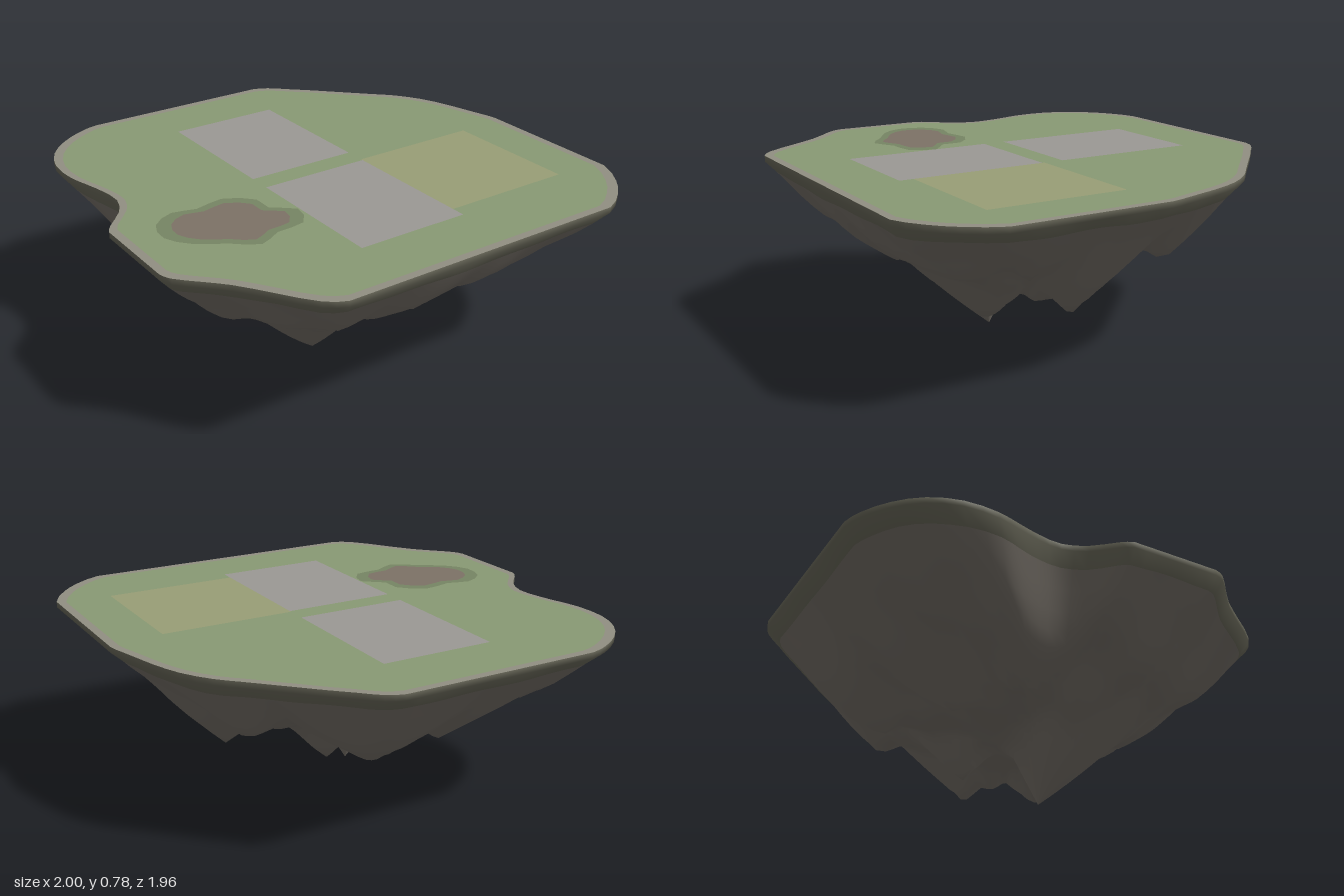
import * as THREE from 'three';

const TOP = 0.78;
const v2 = (list) => list.map(([x, z]) => new THREE.Vector2(x, z));
const scaled = (pts, s, c = new THREE.Vector2()) => pts.map((p) => p.clone().sub(c).multiplyScalar(s).add(c));

// Island outline as (x, z), running clockwise seen from above
const rimPoints = v2([
  [-0.57, -0.98], [0.28, -0.98], [0.35, -0.95], [0.5, -0.81], [0.65, -0.66], [0.8, -0.51], [0.88, -0.39],
  [0.93, -0.26], [0.98, -0.08], [1, 0], [1, 0.68], [0.92, 0.82], [0.83, 0.91], [0.71, 0.98], [-0.56, 0.98],
  [-0.64, 0.93], [-0.74, 0.79], [-0.83, 0.66], [-0.98, 0.5], [-1, 0.45], [-1, 0.05], [-0.97, 0], [-0.89, -0.09],
  [-0.85, -0.19], [-0.86, -0.3], [-0.91, -0.5], [-0.91, -0.65], [-0.86, -0.78], [-0.77, -0.88], [-0.66, -0.95],
]);
const earthPoints = v2([
  [-0.8, 0.22], [-0.78, 0.13], [-0.7, 0.08], [-0.62, 0.1], [-0.52, 0.08], [-0.43, 0.15], [-0.43, 0.22],
  [-0.36, 0.28], [-0.4, 0.37], [-0.5, 0.38], [-0.58, 0.42], [-0.66, 0.36], [-0.75, 0.3],
]);
const earthCentre = new THREE.Vector2(-0.58, 0.25);
const tip = new THREE.Vector2(-0.13, 0.13);

// Splits long sides, then rounds the corners between the points
function smoothOutline(pts, step) {
  const dense = pts.flatMap((p, i) => {
    const q = pts[(i + 1) % pts.length];
    const n = Math.max(1, Math.round(p.distanceTo(q) / step));
    return Array.from({ length: n }, (_, k) => p.clone().lerp(q, k / n));
  });
  const curve = new THREE.CatmullRomCurve3(dense.map((p) => new THREE.Vector3(p.x, 0, p.y)), true);
  return curve.getPoints(dense.length * 2).slice(0, -1).map((p) =>
    new THREE.Vector2(THREE.MathUtils.clamp(p.x, -1, 1), THREE.MathUtils.clamp(p.z, -0.98, 0.98)));
}

// Skin through closed rings of equal length
function loft(rings) {
  const n = rings[0].length;
  const index = [];
  for (let j = 0; j < rings.length - 1; j++) {
    for (let i = 0; i < n; i++) {
      const k = (i + 1) % n;
      const a = j * n + i, b = j * n + k, c = a + n, d = b + n;
      index.push(a, b, c, b, d, c);
    }
  }
  const geo = new THREE.BufferGeometry().setFromPoints(rings.flat());
  geo.setIndex(index);
  geo.computeVertexNormals();
  return geo;
}

// Flat horizontal sheet with an optional hole
function sheet(pts, y, hole) {
  const flip = (list) => list.map((p) => new THREE.Vector2(p.x, -p.y));
  const shape = new THREE.Shape(flip(pts));
  if (hole) shape.holes.push(new THREE.Path(flip(hole)));
  return new THREE.ShapeGeometry(shape).rotateX(-Math.PI / 2).translate(0, y, 0);
}

// Average rock height from the tip (0) to the rim (1)
const profile = [[0, 0.25], [0.3, 0.29], [0.45, 0.345], [0.6, 0.43], [0.73, 0.515], [0.86, 0.62], [1, 0.755]];
function baseHeight(t) {
  let i = 1;
  while (i < profile.length - 1 && t > profile[i][0]) i++;
  const [t0, y0] = profile[i - 1], [t1, y1] = profile[i];
  return y0 + ((y1 - y0) * (t - t0)) / (t1 - t0);
}

// Hanging spurs: x, y, z, slope
const spurs = [
  [0.11, 0.14, -0.11, 1.1], [0.22, 0.15, 0.34, 0.9], [0.48, 0.21, 0.1, 1], [0.34, 0.22, 0.16, 0.9],
  [-0.3, 0.24, -0.36, 0.75], [-0.5, 0.29, -0.18, 0.7], [-0.74, 0.49, -0.25, 0.7], [0.12, 0.28, -0.49, 0.7],
  [-0.1, 0.36, 0.58, 0.7], [0.2, 0.45, 0.69, 0.7], [0.66, 0.45, 0.4, 0.7], [0.84, 0.54, 0.1, 0.8],
  [0.56, 0.4, -0.3, 0.7], [0.1, 0.44, -0.72, 0.7], [-0.55, 0.45, -0.58, 0.7],
];
function rockHeight(p, t) {
  const bump = Math.sin(p.x * 13 + p.y * 5) * Math.sin(p.y * 14 - p.x * 4 + 1);
  const base = baseHeight(t) + 0.03 * Math.sin(Math.PI * t) * bump;
  // Main spike, sloping gently to the front right and steeply elsewhere
  const r = p.distanceTo(tip);
  const lean = (p.y - tip.y - p.x + tip.x) * Math.SQRT1_2;
  const spike = 1.4 * r - 0.7 * lean + 0.3 * r * r;
  const carved = Math.min(base, spike, ...spurs.map(([x, y, z, slope]) => y + slope * Math.hypot(p.x - x, p.y - z)));
  return THREE.MathUtils.lerp(carved, base, THREE.MathUtils.smoothstep(t, 0.7, 1));
}

export function createModel() {
  const group = new THREE.Group();
  const add = (name, geometry, color) => {
    const mesh = new THREE.Mesh(geometry, new THREE.MeshStandardMaterial({ color }));
    mesh.name = name;
    group.add(mesh);
  };

  // Rocky underside, gathered from the rim to the tip
  const rim = smoothOutline(rimPoints, 0.12);
  const steps = 20;
  const rings = [];
  for (let j = 0; j <= steps; j++) {
    const t = 1 - j / steps;
    rings.push(rim.map((r) => {
      const p = tip.clone().lerp(r, t);
      return new THREE.Vector3(p.x, rockHeight(p, t), p.y);
    }));
  }
  add('rockUnderside', loft(rings.slice(1)), 0x78726a);

  // Mossy edge between ground and rock
  const edgeTop = rim.map((p) => new THREE.Vector3(p.x, TOP, p.y));
  add('mossyEdge', loft([edgeTop, ...rings.slice(0, 2)]), 0x6c6b5c);

  // Ground
  const turf = scaled(rim, 0.965);
  add('stonyBorder', sheet(rim, TOP, turf), 0x918f82);
  add('grass', sheet(turf, TOP), 0x899a74);

  // Paved and sown plots
  const plot = (x0, x1, z0, z1) => sheet(v2([[x0, z0], [x1, z0], [x1, z1], [x0, z1]]), TOP + 0.002);
  add('backPaving', plot(-0.3, 0.19, -0.69, -0.05), 0x9b9995);
  add('frontPaving', plot(-0.3, 0.19, 0.05, 0.7), 0x9b9995);
  add('field', plot(0.19, 0.77, 0.04, 0.64), 0x999e76);

  // Bare earth patch with a darker grass surround
  const earth = smoothOutline(earthPoints, 0.12);
  add('earthSurround', sheet(scaled(earth, 1.25, earthCentre), TOP + 0.001), 0x778664);
  add('earthPatch', sheet(earth, TOP + 0.002), 0x7d7266);

  return group;
}
